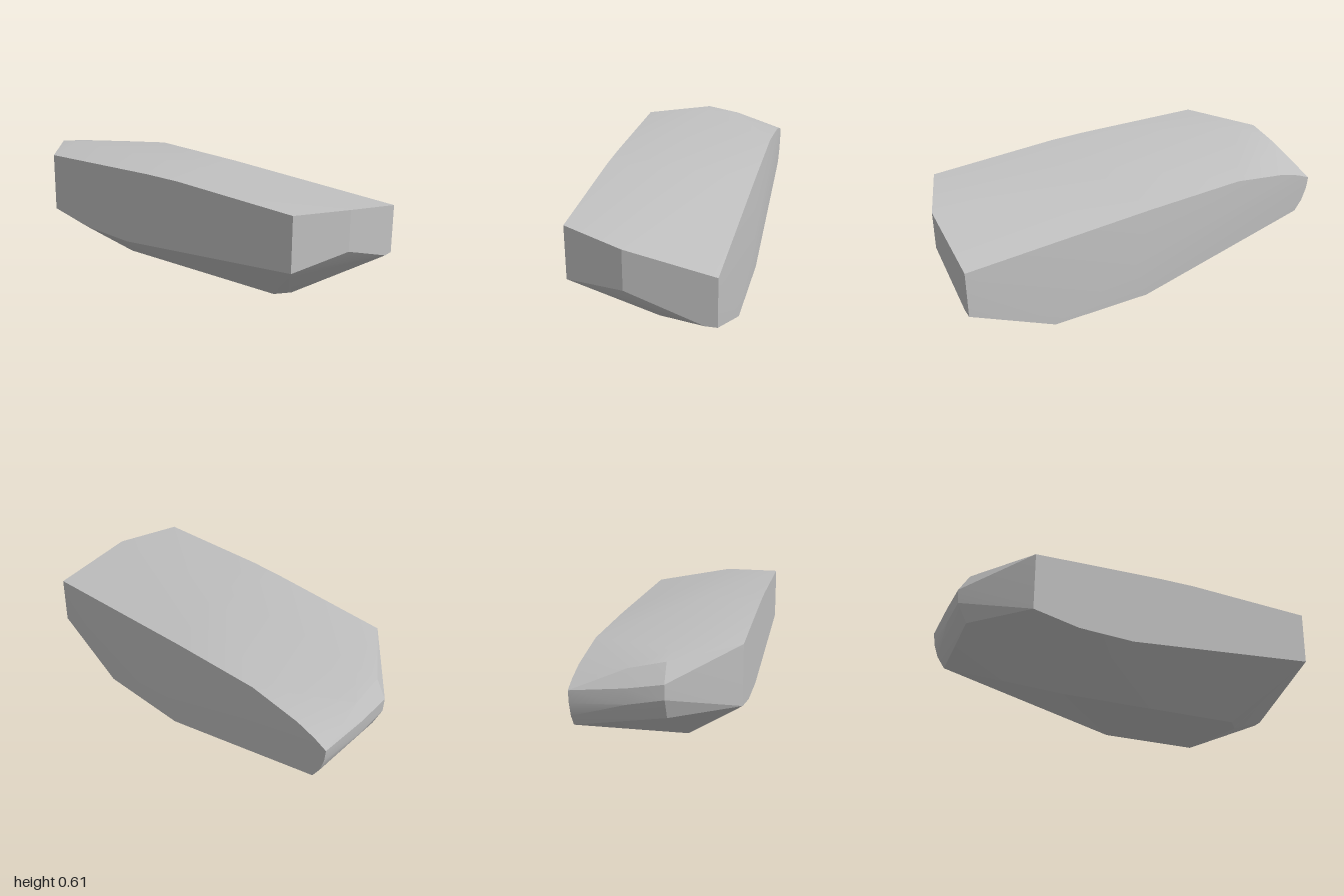
import * as THREE from 'three';
import { ConvexGeometry } from 'three/addons/geometries/ConvexGeometry.js';
import { toCreasedNormals } from 'three/addons/utils/BufferGeometryUtils.js';

// Turn [z, y] pairs into points on the plane at x
const section = (x, pairs) => pairs.map(([z, y]) => new THREE.Vector3(x, y, z));

export function createModel() {
  const grey = new THREE.MeshStandardMaterial({ color: 0xc0c0c0 });
  grey.name = 'stone grey';

  const points = [
    // outer right face
    ...section(-0.387, [[0.88, 0.29], [0.88, 0.573], [0.2, 0.605], [0, 0.605], [-0.68, 0.587],
      [-0.68, 0.28], [-0.44, 0.225], [-0.15, 0.208]]),
    // shoulder line, rounded at the back
    ...section(-0.075, [[1, 0.335], [1, 0.545], [0.15, 0.592], [-0.8, 0.583], [-0.93, 0.565],
      [-0.985, 0.475], [-0.98, 0.4], [-0.93, 0.295], [-0.4, 0], [0.58, 0]]),
    // rounded back, between shoulder and left face
    ...section(0.1, [[-0.95, 0.53], [-0.996, 0.45], [-0.99, 0.37], [-0.93, 0.27]]),
    // front keel and lower front corner
    ...section(0, [[0.64, 0]]),
    ...section(0.305, [[1, 0.2]]),
    // left face
    ...section(0.365, [[1, 0.2], [1, 0.455], [0, 0.511], [-0.53, 0.53], [-0.82, 0.49], [-0.93, 0.457],
      [-1, 0.425], [-0.993, 0.36], [-0.97, 0.29], [-0.93, 0.23]]),
    // slight bulge low on the left face
    ...section(0.387, [[0.56, 0], [0.03, 0], [0.1, 0.2]]),
  ];

  const body = new THREE.Mesh(toCreasedNormals(new ConvexGeometry(points), 0.3), grey);
  body.name = 'body';

  const group = new THREE.Group();
  group.name = 'facetedBlock';
  group.add(body);
  return group;
}
